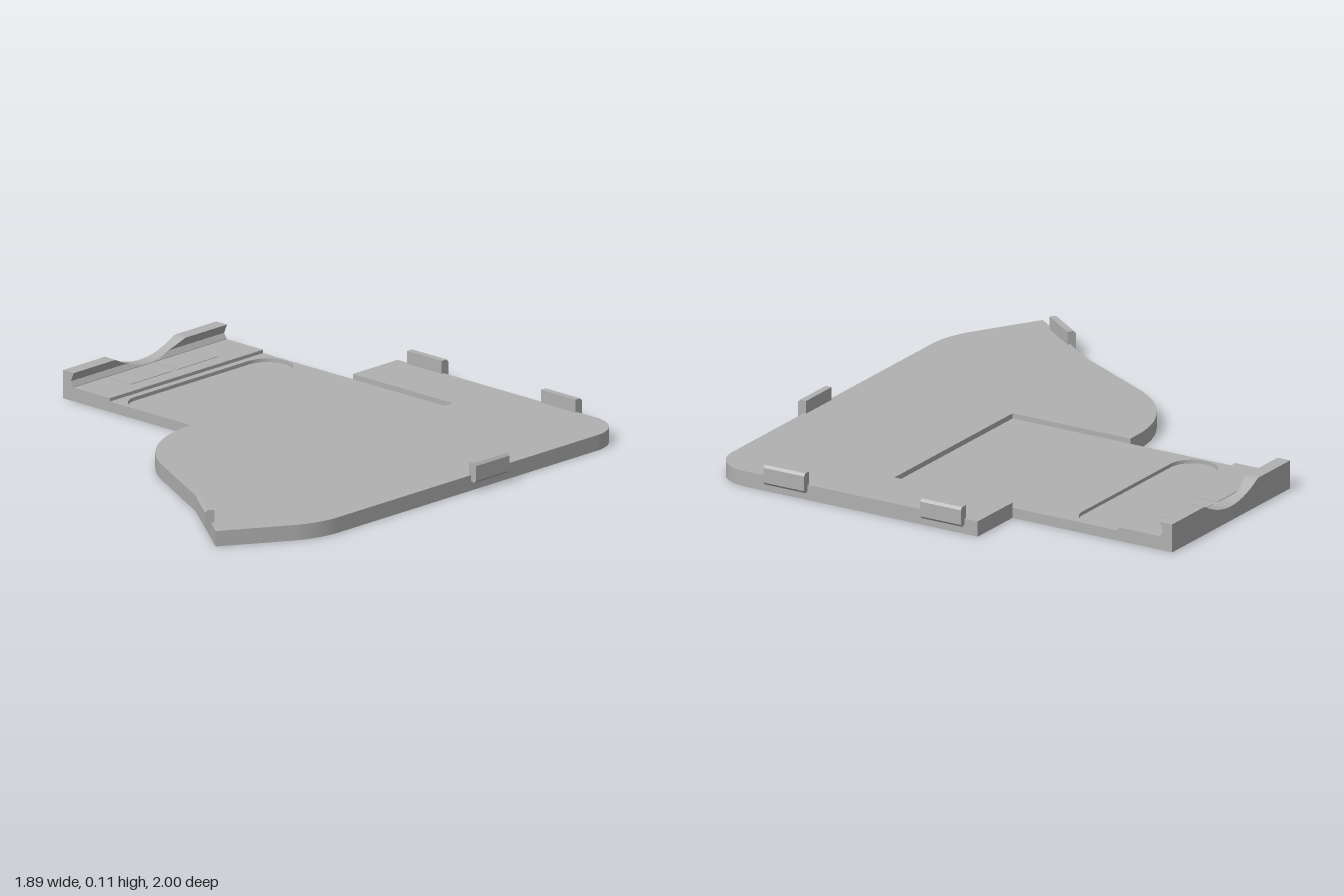
import * as THREE from 'three';
import { toCreasedNormals } from 'three/addons/utils/BufferGeometryUtils.js';

const grey = new THREE.MeshStandardMaterial({ color: 0xb0b0b0 });
grey.name = 'plain grey';

const Z0 = -0.735, Z1 = 0.085, ZMID = (Z0 + Z1) / 2; // tray sides

function part(name, geometry) {
  const mesh = new THREE.Mesh(toCreasedNormals(geometry, 0.5), grey);
  mesh.name = name;
  return mesh;
}

// Plan outline in (x, z); xIn is where the tray side reaches (outwards or as a notch)
function outline(xIn) {
  const s = new THREE.Shape();
  s.moveTo(-0.25, -0.975);
  s.lineTo(0.77, -0.975);
  s.absarc(0.77, -0.825, 0.15, -Math.PI / 2, 0, false);
  s.lineTo(0.92, 0.56);
  s.quadraticCurveTo(0.92, 0.65, 0.875, 0.735);
  s.lineTo(0.71, 1.0);
  s.lineTo(0.46, 0.815);
  s.quadraticCurveTo(0.4, 0.765, 0.33, 0.725);
  s.lineTo(0.005, 0.553);
  s.bezierCurveTo(-0.15, 0.47, -0.25, 0.31, -0.25, 0.14);
  s.lineTo(-0.25, Z1);
  s.lineTo(xIn, Z1);
  s.lineTo(xIn, Z0);
  s.lineTo(-0.25, Z0);
  s.closePath();
  return s;
}

// Extrude a plan shape between two heights
function slab(name, shape, y0, y1) {
  const g = new THREE.ExtrudeGeometry(shape, { depth: y1 - y0, bevelEnabled: false, curveSegments: 20 });
  g.rotateX(Math.PI / 2);
  g.translate(0, y1, 0);
  return part(name, g);
}

function box(name, x0, x1, y0, y1, z0, z1) {
  const g = new THREE.BoxGeometry(x1 - x0, y1 - y0, z1 - z0);
  g.translate((x0 + x1) / 2, (y0 + y1) / 2, (z0 + z1) / 2);
  return part(name, g);
}

// Small clip standing on the plate edge, facing outwards along (nx, nz)
function clip(name, x, z, nx, nz) {
  const s = new THREE.Shape();
  [[-0.01, 0.04], [0.015, 0.032], [0.025, 0.042], [0.025, 0.1], [0.016, 0.11], [-0.01, 0.11]]
    .forEach(([u, y], i) => (i ? s.lineTo(u, y) : s.moveTo(u, y)));
  const g = new THREE.ExtrudeGeometry(s, { depth: 0.178, bevelEnabled: false });
  g.translate(0, 0, -0.089);
  const m = part(name, g);
  m.position.set(x, 0, z);
  m.rotation.y = Math.atan2(-nz, nx);
  return m;
}

// Hooked lip with a curved thumb dip, lofted from cross-sections along z
function lip() {
  const n = 48, pos = [], idx = [], K = 6;
  const inner = (y) => (y > 0.075 ? -0.91 + (y - 0.075) * 0.43 : -0.91 + (0.075 - y) * 0.6);
  for (let i = 0; i <= n; i++) {
    const z = Z0 + ((Z1 - Z0) * i) / n, d = z - ZMID;
    const h = Math.min(0.11, 0.056 + 1.58 * d * d);
    const m = Math.min(h, 0.075), l = 0.055;
    [[-0.95, 0.04], [-0.95, h], [inner(h), h], [inner(m), m], [-0.897, l], [-0.897, 0.04]]
      .forEach(([x, y]) => pos.push(x, y, z));
  }
  for (let i = 0; i < n; i++) {
    for (let k = 0; k < K; k++) {
      const a = i * K + k, b = i * K + ((k + 1) % K), c = a + K, d = b + K;
      idx.push(a, c, b, b, c, d);
    }
  }
  for (let k = 1; k < K - 1; k++) {
    idx.push(0, k, k + 1);
    idx.push(n * K, n * K + k + 1, n * K + k);
  }
  const g = new THREE.BufferGeometry();
  g.setAttribute('position', new THREE.Float32BufferAttribute(pos, 3));
  g.setIndex(idx);
  return part('hookedLip', g);
}

export function createModel() {
  const model = new THREE.Group();
  model.name = 'bracketPlate';

  // Bottom layer with three round foot pockets
  const base = outline(-0.95);
  for (const [x, z] of [[0.737, -0.74], [0.68, 0.785], [-0.368, ZMID]]) {
    base.holes.push(new THREE.Path().absarc(x, z, 0.123, 0, Math.PI * 2, true));
  }
  model.add(slab('baseLayer', base, 0, 0.026));

  // Tray layer with the long round-ended slot
  const tray = outline(-0.95), slot = new THREE.Path();
  slot.absarc(-0.587, -0.63, 0.095, Math.PI, Math.PI * 2, false);
  slot.absarc(-0.587, -0.02, 0.095, 0, Math.PI, false);
  slot.closePath();
  tray.holes.push(slot);
  model.add(slab('trayLayer', tray, 0.026, 0.04));

  // Top layer, notched where the tray runs into the plate
  model.add(slab('topPlate', outline(0.265), 0.04, 0.06));

  // Raised strip with two thin pads, and the end lip
  model.add(box('raisedStrip', -0.9, -0.71, 0.04, 0.053, Z0, Z1));
  for (const side of [-1, 1]) {
    const z = ZMID + side * 0.125;
    model.add(box('contactPad', -0.88, -0.77, 0.053, 0.055, z - 0.11, z + 0.11));
  }
  model.add(lip());

  // Edge clips
  model.add(clip('backClip', -0.103, -0.975, 0, -1));
  model.add(clip('backClip', 0.583, -0.975, 0, -1));
  model.add(clip('sideClip', 0.92, -0.237, 1, 0));
  model.add(clip('frontClip', 0.557, 0.884, -0.59, 0.81));
  return model;
}
